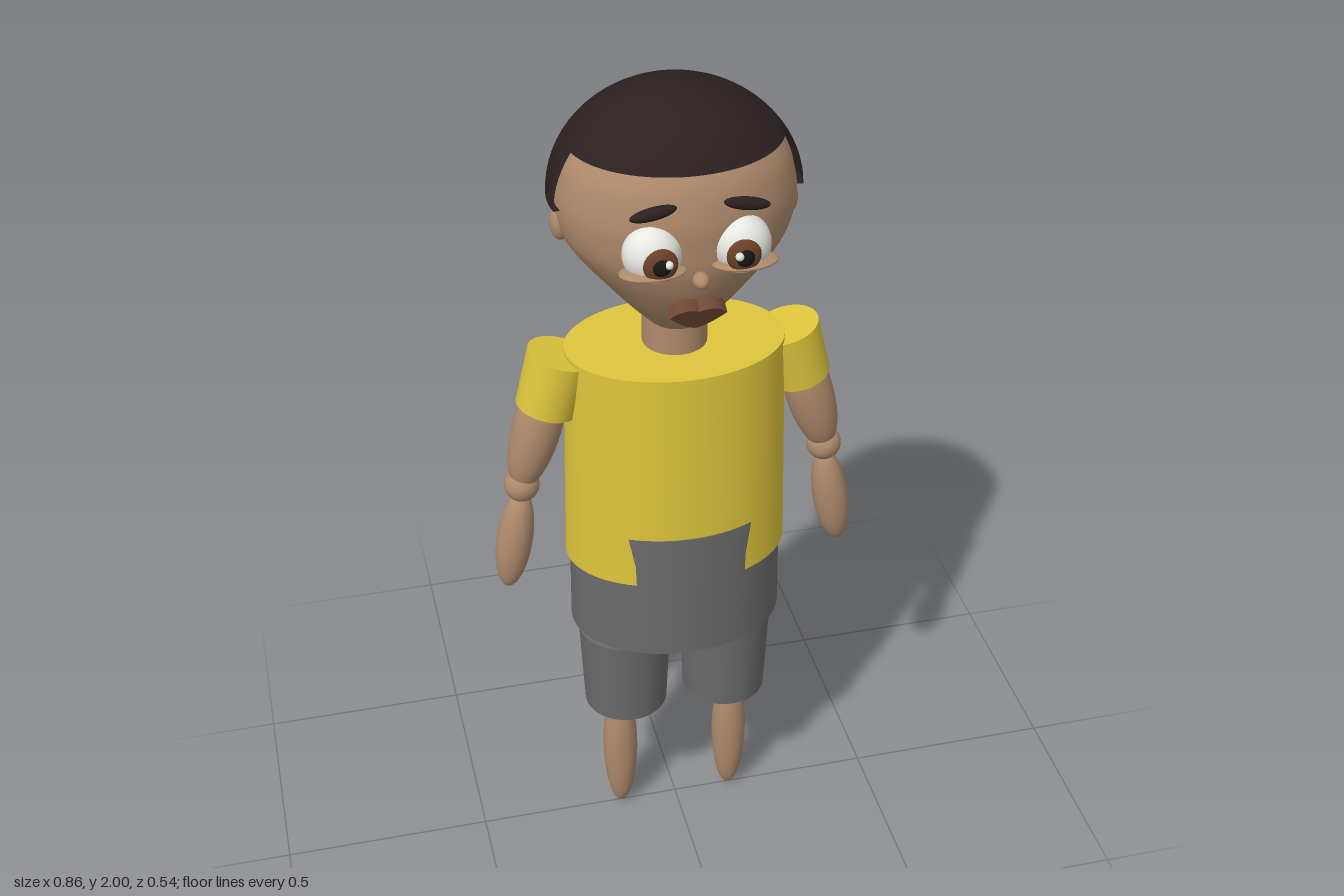
import * as THREE from 'three';
import { toCreasedNormals } from 'three/addons/utils/BufferGeometryUtils.js';

const mat = (name, color, side = THREE.FrontSide) => {
  const m = new THREE.MeshStandardMaterial({ color, side });
  m.name = name;
  return m;
};

export function createModel() {
  const root = new THREE.Group();
  root.name = 'boy';
  const skin = mat('skin', 0xaf8a6c);
  const yellow = mat('shirt yellow', 0xdec53c);
  const grey = mat('shorts grey', 0x6a6a6b);
  const dark = mat('hair dark brown', 0x2c2020, THREE.DoubleSide);
  const white = mat('eye white', 0xf2f2ee);
  const iris = mat('iris brown', 0x6b4226);
  const black = mat('pupil black', 0x1c1414);
  const lip = mat('mouth brown', 0x6e4833);

  const add = (name, geo, material, x = 0, y = 0, z = 0, rotZ = 0) => {
    const mesh = new THREE.Mesh(geo, material);
    mesh.name = name;
    mesh.position.set(x, y, z);
    mesh.rotation.z = rotZ;
    root.add(mesh);
    return mesh;
  };
  const ellipsoid = (rx, ry, rz) => new THREE.SphereGeometry(1, 32, 24).scale(rx, ry, rz);

  // Oval tapered cylinder with its own x and z radius at each end
  const ovalTube = (top, bottom, h) => {
    const geo = new THREE.CylinderGeometry(1, 1, h, 72);
    const p = geo.attributes.position;
    for (let i = 0; i < p.count; i++) {
      const t = p.getY(i) / h + 0.5;
      p.setX(i, p.getX(i) * THREE.MathUtils.lerp(bottom[0], top[0], t));
      p.setZ(i, p.getZ(i) * THREE.MathUtils.lerp(bottom[1], top[1], t));
    }
    return toCreasedNormals(geo, 0.6);
  };

  // Trunk: the hips poke through the shirt at front and back
  add('shirt', ovalTube([0.25, 0.178], [0.262, 0.1872], 0.555), yellow, 0, 1.1075, -0.003);
  add('hips', ovalTube([0.25, 0.188], [0.253, 0.193], 0.33), grey, 0, 0.795, -0.003);
  add('neck', new THREE.CylinderGeometry(0.073, 0.073, 0.13, 32), skin, 0, 1.425, -0.004);

  // Head: a lathe, fuller at the chin in front and flatter behind
  const profile = new THREE.SplineCurve([
    [0.065, 1.455], [0.115, 1.51], [0.165, 1.57], [0.21, 1.625], [0.246, 1.68],
    [0.261, 1.74], [0.256, 1.8], [0.23, 1.87], [0.155, 1.94], [0, 1.975],
  ].map(([x, y]) => new THREE.Vector2(x, y))).getPoints(36);
  profile[36].x = 0;
  const head = new THREE.LatheGeometry([new THREE.Vector2(0, 1.453), ...profile], 56);
  const hp = head.attributes.position;
  for (let i = 0; i < hp.count; i++) {
    const t = THREE.MathUtils.smoothstep(hp.getY(i), 1.46, 1.74);
    const k = hp.getZ(i) > 0 ? 1.15 - 0.32 * t : 0.95 - 0.18 * t;
    hp.setZ(i, hp.getZ(i) * k);
  }
  add('head', toCreasedNormals(head, 0.7), skin);

  // Hair: dome sectors with a flat rim, short over the brow and long behind
  const hairSector = (name, rimY, start, length) => {
    const a0 = Math.asin((rimY - 1.76) / 0.24);
    const pts = [new THREE.Vector2(Math.cos(a0) * 0.68, Math.sin(a0))];
    for (let i = 0; i <= 20; i++) {
      const a = THREE.MathUtils.lerp(a0, Math.PI / 2, i / 20);
      pts.push(new THREE.Vector2(Math.max(0, Math.cos(a)), Math.sin(a)));
    }
    const geo = new THREE.LatheGeometry(pts, 48, start, length);
    const p = geo.attributes.position;
    for (let i = 0; i < p.count; i++) {
      const z = p.getZ(i);
      p.setXYZ(i, p.getX(i) * 0.275, p.getY(i) * 0.24, z * (z > 0 ? 0.235 : 0.273));
    }
    add(name, toCreasedNormals(geo, 0.7), dark, 0, 1.76, 0);
  };
  const split = 1.38;
  hairSector('fringe', 1.888, -split, 2 * split);
  hairSector('backHair', 1.76, split, 2 * Math.PI - 2 * split);

  // Nose and mouth
  add('nose', ellipsoid(0.018, 0.018, 0.022), skin, 0, 1.665, 0.232);
  const m = new THREE.Shape();
  m.moveTo(-0.062, 0.01);
  m.quadraticCurveTo(-0.035, 0.045, 0, 0.025);
  m.quadraticCurveTo(0.035, 0.045, 0.062, 0.01);
  m.quadraticCurveTo(0.02, -0.04, 0, -0.04);
  m.quadraticCurveTo(-0.02, -0.04, -0.062, 0.01);
  const mouth = add('mouth',
    new THREE.ExtrudeGeometry(m, { depth: 0.03, bevelEnabled: false, curveSegments: 10 }),
    lip, 0, 1.575, 0.181);
  mouth.rotation.x = 0.5;

  for (const s of [1, -1]) {
    const side = s > 0 ? 'left' : 'right';

    // Face
    add(side + 'Ear', ellipsoid(0.022, 0.04, 0.026), skin, s * 0.25, 1.71, 0);
    add(side + 'Eye', ellipsoid(0.063, 0.065, 0.056), white, s * 0.095, 1.72, 0.192);
    add(side + 'Iris', ellipsoid(0.037, 0.037, 0.016), iris, s * 0.088, 1.717, 0.24);
    add(side + 'Pupil', ellipsoid(0.02, 0.02, 0.014), black, s * 0.088, 1.717, 0.25);
    add(side + 'EyeGlint', ellipsoid(0.009, 0.009, 0.009), white, s * 0.074, 1.725, 0.258);
    add(side + 'LowerLid', ellipsoid(0.072, 0.011, 0.042), skin, s * 0.098, 1.688, 0.212);
    add(side + 'Eyebrow', ellipsoid(0.05, 0.014, 0.014), dark, s * 0.098, 1.825, 0.219, -s * 0.17);

    // Arm
    add(side + 'Sleeve', new THREE.CylinderGeometry(0.075, 0.07, 0.138, 40), yellow,
      s * 0.277, 1.314, -0.005, s * 0.27);
    add(side + 'UpperArm', ellipsoid(0.056, 0.17, 0.056), skin, s * 0.318, 1.2, -0.002, s * 0.28);
    add(side + 'Elbow', ellipsoid(0.041, 0.041, 0.041), skin, s * 0.36, 1.046, -0.002);
    add(side + 'Forearm', ellipsoid(0.042, 0.135, 0.042), skin, s * 0.383, 0.893, -0.002, s * 0.17);

    // Leg
    add(side + 'Thigh', new THREE.CylinderGeometry(0.065, 0.065, 0.2, 32), skin, s * 0.13, 0.58, -0.003);
    add(side + 'ShortsLeg', new THREE.CylinderGeometry(0.112, 0.101, 0.235, 40), grey,
      s * 0.125, 0.477, -0.003);
    add(side + 'Shin', ellipsoid(0.043, 0.195, 0.041), skin, s * 0.142, 0.195, -0.003);
  }
  return root;
}
